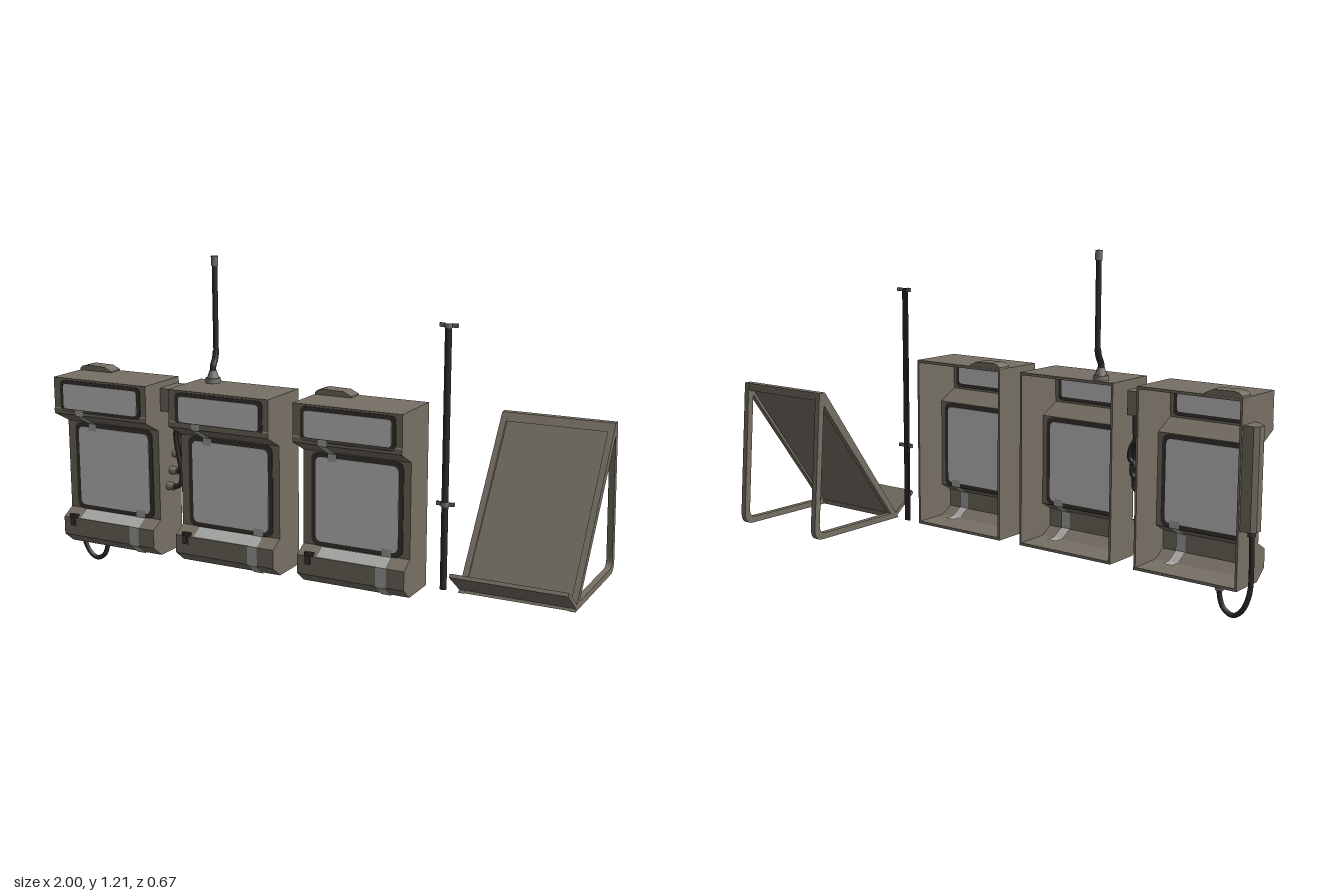
import * as THREE from 'three';

const mat = (name, color, side = THREE.FrontSide) => {
  const m = new THREE.MeshStandardMaterial({ color, side });
  m.name = name;
  return m;
};

export function createModel() {
  const D = THREE.DoubleSide;
  const shell = mat('warm grey shell', 0x766f64, D);
  const trim = mat('dark trim', 0x3a3632);
  const glass = mat('pale glass', 0xcbcbcb);
  const tape = mat('light grey strap', 0xa8a8a6, D);
  const rubber = mat('black rubber', 0x2b2a28, D);
  const fitting = mat('grey fitting', 0x74736e);

  const root = new THREE.Group();
  root.name = 'equipmentSet';
  const add = (parent, name, geo, material, x = 0, y = 0, z = 0) => {
    const m = new THREE.Mesh(geo, material);
    m.name = name;
    m.position.set(x, y, z);
    parent.add(m);
    return m;
  };
  const box = (p, name, w, h, d, m, x, y, z) => add(p, name, new THREE.BoxGeometry(w, h, d), m, x, y, z);
  const cyl = (p, name, r0, r1, h, m, x, y, z) => add(p, name, new THREE.CylinderGeometry(r0, r1, h, 16), m, x, y, z);
  const shapeOf = pts => new THREE.Shape(pts.map(p => new THREE.Vector2(...p)));
  const tube = (p, name, pts, r, m) => add(p, name, new THREE.TubeGeometry(
    new THREE.CatmullRomCurve3(pts.map(q => new THREE.Vector3(...q))), 40, r, 10), m);

  // Side outline in (z, y), extruded along x from x0
  const extrudeX = (shape, x0, w) => new THREE.ExtrudeGeometry(shape, { depth: w, bevelEnabled: false, curveSegments: 8 })
    .rotateY(-Math.PI / 2).translate(x0 + w, 0, 0);

  // Rectangle with rounded corners, lying in the xy plane
  const roundRect = (w, h, r, depth) => {
    const s = new THREE.Shape(), a = w / 2, b = h / 2;
    s.moveTo(-a + r, -b);
    s.lineTo(a - r, -b).quadraticCurveTo(a, -b, a, -b + r);
    s.lineTo(a, b - r).quadraticCurveTo(a, b, a - r, b);
    s.lineTo(-a + r, b).quadraticCurveTo(-a, b, -a, b - r);
    s.lineTo(-a, -b + r).quadraticCurveTo(-a, -b, -a + r, -b);
    return new THREE.ExtrudeGeometry(s, { depth, bevelEnabled: false, curveSegments: 5 });
  };

  // Thin ribbon following a (z, y) path
  const ribbon = (path, w) => {
    const pos = [], idx = [];
    path.forEach(([z, y], i) => {
      pos.push(-w / 2, y, z, w / 2, y, z);
      if (i) { const k = i * 2; idx.push(k - 2, k, k - 1, k - 1, k, k + 1); }
    });
    const g = new THREE.BufferGeometry();
    g.setAttribute('position', new THREE.Float32BufferAttribute(pos, 3));
    g.setIndex(idx);
    const flat = g.toNonIndexed();
    flat.computeVertexNormals();
    return flat;
  };

  // Hollow cabinet, open at the back
  const W = 0.404, T = 0.01, BACK = 0.112;
  const outline = [[BACK, 0.757], [0.33, 0.757], [0.33, 0.645], [0.333, 0.64], [0.333, 0.622], [0.254, 0.58],
    [0.254, 0.243], [0.303, 0.215], [0.303, 0.147], [0.254, 0.108], [BACK, 0.108]];
  const inner = outline.map(([z, y]) => [z === BACK ? z : z - T, Math.min(0.757 - T, Math.max(0.108 + T, y))]);
  const cabinet = (name, cx) => {
    const g = new THREE.Group();
    g.name = name;
    g.position.x = cx;
    root.add(g);
    add(g, 'cabinetWall', extrudeX(shapeOf([...outline, ...inner.slice().reverse()]), -W / 2, W), shell);
    for (const s of [-1, 1])
      add(g, 'cabinetSide', extrudeX(shapeOf(outline), s > 0 ? W / 2 - 0.008 : -W / 2, 0.008), shell);

    // Framed windows, set through the wall
    add(g, 'upperWindowFrame', roundRect(0.352, 0.12, 0.02, 0.015), trim, 0.003, 0.69, 0.318);
    add(g, 'upperWindow', roundRect(0.322, 0.092, 0.012, 0.019), glass, 0.003, 0.69, 0.316);
    add(g, 'mainWindowFrame', roundRect(0.345, 0.335, 0.03, 0.015), trim, 0.003, 0.41, 0.242);
    add(g, 'mainWindow', roundRect(0.311, 0.302, 0.022, 0.019), glass, 0.003, 0.41, 0.24);

    // Straps bridging the windows, outside and inside
    add(g, 'upperStrap', ribbon([[0.337, 0.642], [0.337, 0.619], [0.262, 0.577], [0.262, 0.55]], 0.034), tape, -0.088);
    const low = [[0.262, 0.27], [0.262, 0.243], [0.307, 0.217], [0.307, 0.145], [0.256, 0.105]];
    add(g, 'lowerStrap', ribbon(low, 0.04), tape, 0.118);
    add(g, 'lowerStrapInside', ribbon([[0.239, 0.27], [0.239, 0.243], [0.288, 0.213], [0.288, 0.15], [0.242, 0.122], [0.2, 0.122]], 0.04), tape, 0.118);
    add(g, 'ledgeLabel', ribbon([[0.261, 0.243], [0.303, 0.2185]], 0.225), tape, -0.013);

    // Ledge latch
    box(g, 'latch', 0.034, 0.014, 0.012, trim, -0.157, 0.222, 0.299);
    box(g, 'latchTail', 0.02, 0.032, 0.008, trim, -0.16, 0.202, 0.304);
    return g;
  };
  const first = cabinet('cabledCabinet', -0.744);
  const second = cabinet('antennaCabinet', -0.243);
  const third = cabinet('plainCabinet', 0.256);

  // Rounded lumps on the cabinet tops
  for (const g of [first, third]) {
    const s = shapeOf([[-0.2, 0.755], [-0.06, 0.755], [-0.06, 0.762], [-0.09, 0.776], [-0.17, 0.778], [-0.19, 0.773], [-0.2, 0.764]]);
    add(g, 'topHandle', new THREE.ExtrudeGeometry(s, { depth: 0.058, bevelEnabled: false }), shell, 0, 0, 0.113);
  }

  // Bent antenna
  const ax = -0.126;
  cyl(second, 'antennaFoot', 0.027, 0.029, 0.018, fitting, ax, 0.765, 0.15);
  cyl(second, 'antennaCone', 0.013, 0.022, 0.028, fitting, ax, 0.787, 0.15);
  tube(second, 'antennaBend', [[ax, 0.79, 0.15], [ax, 0.815, 0.149], [ax, 0.84, 0.135], [ax, 0.87, 0.127]], 0.0115, rubber);
  cyl(second, 'antennaRod', 0.01, 0.01, 0.33, rubber, ax, 1.025, 0.127);
  cyl(second, 'antennaTip', 0.013, 0.013, 0.034, fitting, ax, 1.193, 0.127);

  // Ribbed box on the first cabinet's right side
  const side = new THREE.Group();
  side.name = 'sideModule';
  root.add(side);
  const plan = shapeOf([[-0.945, -0.12], [-0.945, -0.205], [-0.96, -0.2], [-1, -0.165], [-1, -0.135], [-0.985, -0.12]]);
  add(side, 'sideModuleBody', new THREE.ExtrudeGeometry(plan, { depth: 0.355, bevelEnabled: false })
    .rotateX(-Math.PI / 2), shell, 0, 0.313, 0);
  for (let i = 0; i < 10; i++) {
    const rib = box(side, 'sideModuleRib', 0.026, 0.01, 0.006, trim, -0.98, 0.385 + i * 0.028, 0.182);
    rib.rotation.y = -0.72;
  }
  cyl(side, 'cableSocket', 0.014, 0.014, 0.024, trim, -0.972, 0.305, 0.155);
  cyl(side, 'bottomSocket', 0.015, 0.015, 0.02, fitting, -0.862, 0.1, 0.15);
  tube(side, 'loopCable', [[-0.972, 0.305, 0.155], [-0.975, 0.2, 0.157], [-0.97, 0.09, 0.157], [-0.945, 0.03, 0.153],
    [-0.915, 0.0105, 0.15], [-0.88, 0.028, 0.15], [-0.864, 0.065, 0.15], [-0.862, 0.1, 0.15]], 0.009, rubber);

  // Connector box and three cables on the first cabinet's left side
  const links = new THREE.Group();
  links.name = 'connectorModule';
  root.add(links);
  const cb = shapeOf([[-0.545, -0.125], [-0.545, -0.237], [-0.495, -0.237], [-0.487, -0.225], [-0.487, -0.14], [-0.497, -0.125]]);
  add(links, 'connectorBox', new THREE.ExtrudeGeometry(cb, { depth: 0.085, bevelEnabled: false }).rotateX(-Math.PI / 2), shell, 0, 0.65, 0);
  [0.475, 0.415, 0.36].forEach((y, i) => {
    const z = 0.155 + i * 0.022, top = -0.51 + i * 0.008;
    const plug = cyl(links, 'plug', 0.014, 0.016, 0.032, fitting, -0.53, y, z);
    plug.rotation.z = -Math.PI / 2;
    tube(links, 'linkCable', [[top, 0.652, z], [top, 0.6, z], [-0.512 + i * 0.004, 0.56, z], [-0.494 + i * 0.006, y + 0.05, z],
      [-0.492 + i * 0.003, y + 0.015, z], [-0.51, y, z], [-0.53, y, z]], 0.009, rubber);
  });

  // Slim channel pole with clip wings
  const pole = new THREE.Group();
  pole.name = 'channelPole';
  pole.position.x = 0.526;
  root.add(pole);
  add(pole, 'poleChannel', new THREE.CylinderGeometry(0.012, 0.012, 0.92, 12, 1, true, -Math.PI / 2, Math.PI), rubber, 0, 0.568, 0.12);
  box(pole, 'poleBack', 0.022, 0.92, 0.005, rubber, 0, 0.568, 0.119);
  for (const y of [0.412, 1.024]) {
    add(pole, 'clipBand', new THREE.CylinderGeometry(0.0145, 0.0145, 0.016, 12, 1, true, -Math.PI / 2, Math.PI), fitting, 0, y, 0.12);
    for (const s of [-1, 1]) {
      box(pole, 'clipWing', 0.02, 0.014, 0.004, fitting, s * 0.022, y, 0.119);
      box(pole, 'clipLip', 0.003, 0.014, 0.012, fitting, s * 0.0305, y, 0.115);
    }
  }

  // Easel stand: two triangular frames, sloping panel, top bar and lip
  const stand = new THREE.Group();
  stand.name = 'easelStand';
  root.add(stand);
  const frame = new THREE.Shape();
  frame.moveTo(0.132, 0.108);
  frame.lineTo(-0.29, 0.108).quadraticCurveTo(-0.33, 0.108, -0.328, 0.155);
  frame.lineTo(-0.288, 0.665).lineTo(-0.26, 0.665).lineTo(0.132, 0.108);
  const gap = new THREE.Path();
  gap.moveTo(0.088, 0.131);
  gap.lineTo(-0.27, 0.131).quadraticCurveTo(-0.305, 0.131, -0.303, 0.165);
  gap.lineTo(-0.267, 0.617).lineTo(0.088, 0.131);
  frame.holes.push(gap);
  const X0 = 0.586, X1 = 0.998;
  for (const x of [X0, X1 - 0.022]) add(stand, 'sideFrame', extrudeX(frame, x, 0.022), shell);
  const spanning = (name, pts, inset) =>
    add(stand, name, extrudeX(shapeOf(pts), X0 + inset, X1 - X0 - 2 * inset), shell);
  spanning('slopingPanel', [[0.108, 0.132], [0.1, 0.127], [-0.27, 0.642], [-0.262, 0.647]], 0.02);
  spanning('topBar', [[-0.26, 0.665], [-0.288, 0.665], [-0.284, 0.635], [-0.24, 0.636]], 0.02);
  spanning('frontLip', [[0.118, 0.113], [0.11, 0.125], [0.214, 0.202], [0.222, 0.191]], 0);
  spanning('lowerBar', [[0.13, 0.109], [0.1, 0.109], [0.095, 0.128], [0.116, 0.13]], 0.02);

  return root;
}
